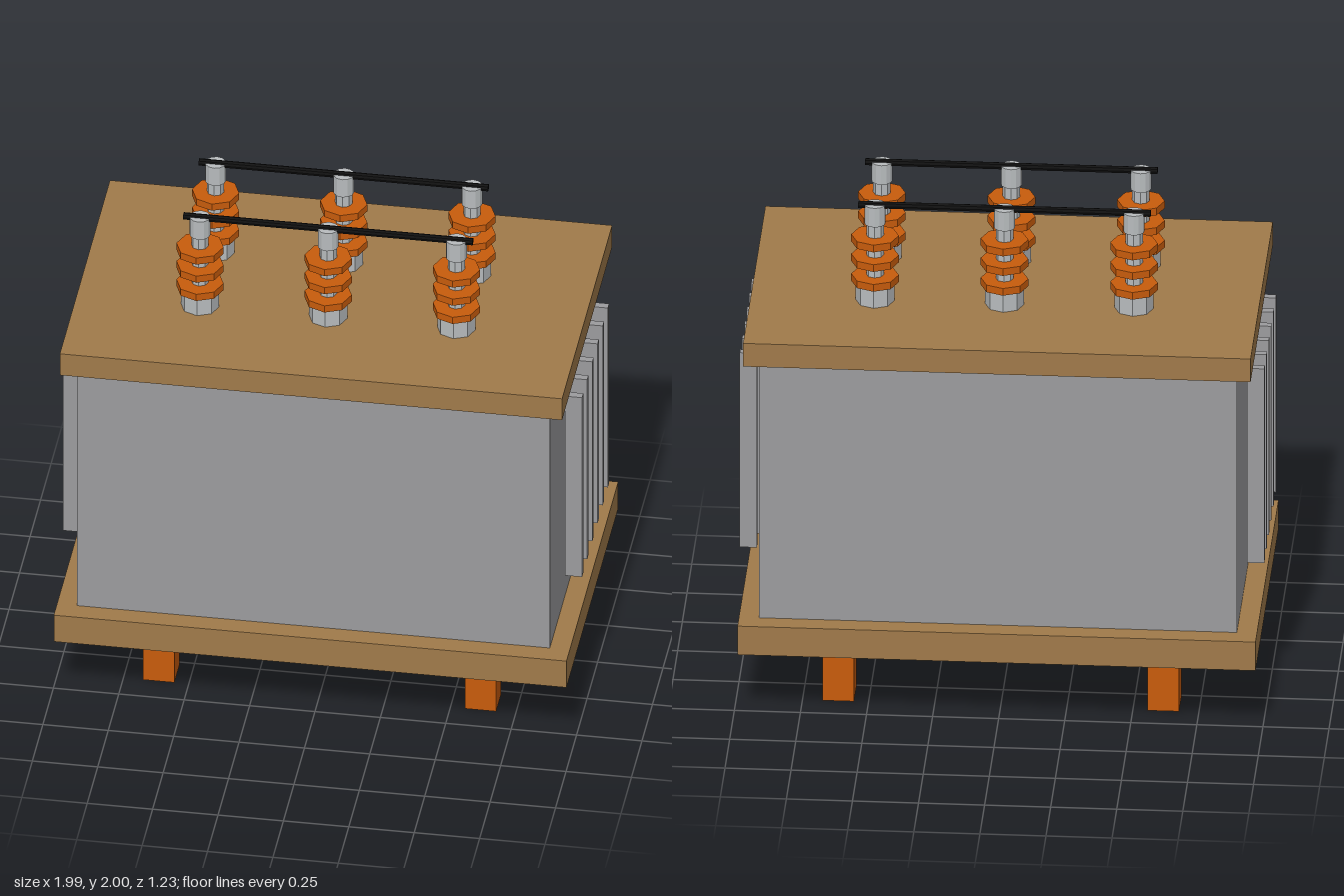
import * as THREE from 'three';

const material = (name, color, flatShading = false) => {
  const m = new THREE.MeshStandardMaterial({ color, flatShading });
  m.name = name;
  return m;
};

export function createModel() {
  const brown = material('brown', 0xa07a4a);
  const grey = material('tank grey', 0x9c9c9e);
  const orange = material('orange', 0xc85c0c, true);
  const silver = material('silver', 0xb8bcbe, true);
  const black = material('black', 0x111111, true);

  const model = new THREE.Group();
  model.name = 'transformer';

  const add = (parent, name, geometry, mat, x, y, z) => {
    const mesh = new THREE.Mesh(geometry, mat);
    mesh.name = name;
    mesh.position.set(x, y, z);
    parent.add(mesh);
    return mesh;
  };
  // Box and cylinder placed by their bottom and top heights
  const box = (name, mat, w, d, y0, y1, x = 0, z = 0) =>
    add(model, name, new THREE.BoxGeometry(w, y1 - y0, d), mat, x, (y0 + y1) / 2, z);
  const cylinder = (parent, name, mat, r, y0, y1, sides) =>
    add(parent, name, new THREE.CylinderGeometry(r, r, y1 - y0, sides), mat, 0, (y0 + y1) / 2, 0);

  // Tank between base slab and lid
  box('base', brown, 1.96, 1.23, 0.29, 0.41);
  box('tank', grey, 1.808, 1.074, 0.41, 1.49);
  box('lid', brown, 1.92, 1.19, 1.49, 1.587);

  for (const sx of [-1, 1]) {
    // Legs
    for (const sz of [-1, 1]) box('leg', orange, 0.12, 0.12, 0, 0.29, sx * 0.615, sz * 0.33);
    // Cooling fins, standing clear of the tank ends
    for (let i = 0; i < 6; i++) {
      box('coolingFin', grey, 0.065, 0.03, 0.6, 1.415, sx * 0.96, (i - 2.5) * 0.123);
    }
  }

  // Two rows of three insulators, each row joined by a bus bar
  for (const z of [-0.185, 0.185]) {
    for (const x of [-0.49, 0, 0.49]) {
      const insulator = new THREE.Group();
      insulator.name = 'insulator';
      insulator.position.set(x, 0, z);
      model.add(insulator);
      cylinder(insulator, 'insulatorFoot', silver, 0.073, 1.587, 1.66, 8);
      cylinder(insulator, 'insulatorStem', silver, 0.033, 1.66, 1.91, 8);
      cylinder(insulator, 'insulatorCap', silver, 0.04, 1.91, 1.99, 12);
      for (const y of [1.665, 1.748, 1.83]) {
        cylinder(insulator, 'insulatorDisc', orange, 0.09, y, y + 0.03, 8);
      }
    }
    const bar = add(model, 'busBar', new THREE.CylinderGeometry(0.014, 0.014, 1.106, 8), black, 0, 1.986, z);
    bar.rotation.z = Math.PI / 2;
  }

  return model;
}
